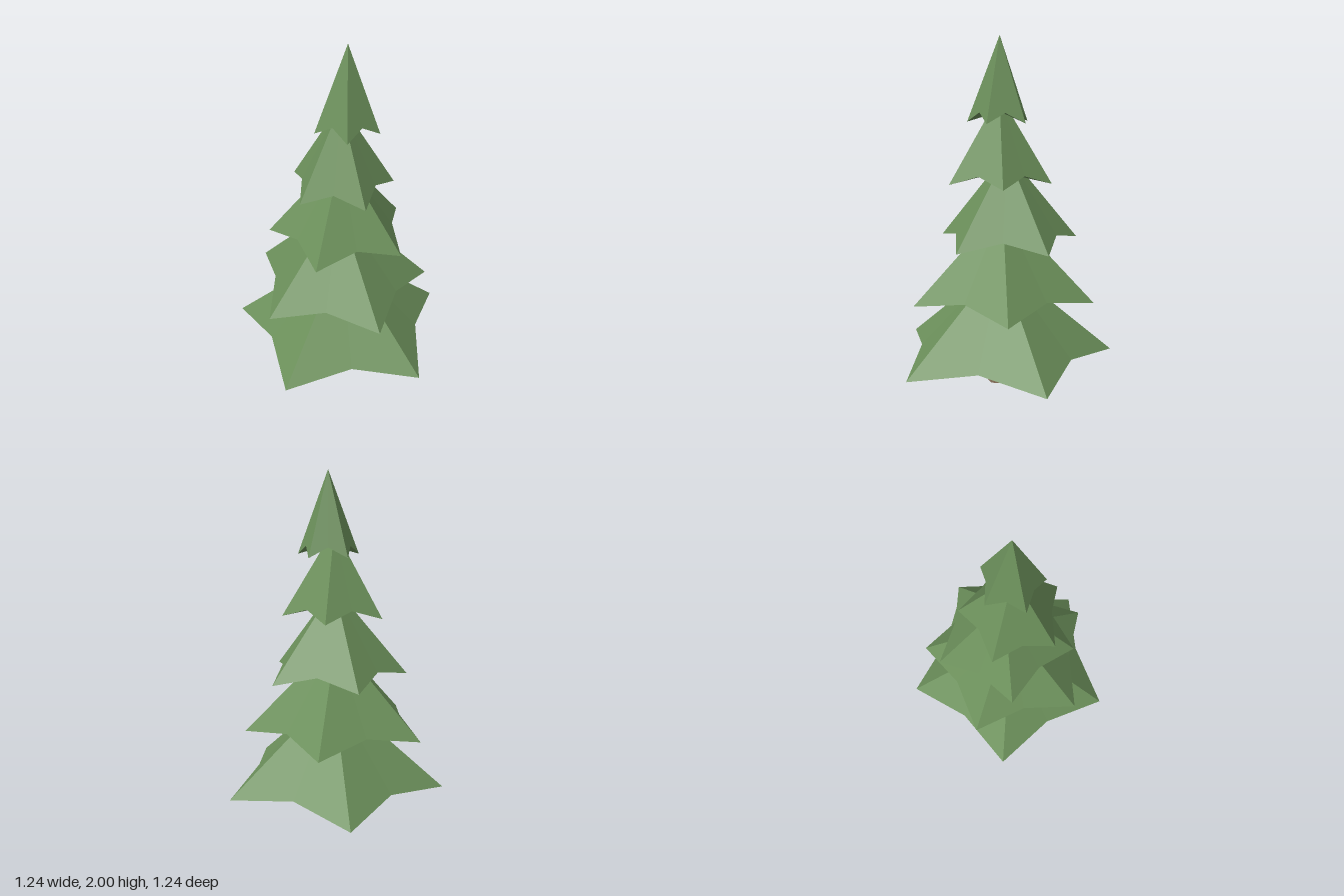
import * as THREE from 'three';

// One bough tier: a five-pointed star skirt rising to an apex, closed underneath.
function starTier(radius, height) {
  const points = 5, notch = 0.712, lift = 0.056;
  const rim = [];
  for (let i = 0; i < points * 2; i++) {
    const a = (i * Math.PI) / points;
    const valley = i % 2 === 1;
    const r = valley ? radius * notch : radius;
    rim.push([Math.cos(a) * r, valley ? lift : 0, Math.sin(a) * r]);
  }
  const apex = [0, height, 0], under = [0, lift, 0];
  const verts = [];
  rim.forEach((p, i) => {
    const next = rim[(i + 1) % rim.length];
    verts.push(...apex, ...next, ...p);   // upper slope
    verts.push(...under, ...p, ...next);  // underside
  });
  const geo = new THREE.BufferGeometry();
  geo.setAttribute('position', new THREE.Float32BufferAttribute(verts, 3));
  geo.computeVertexNormals();
  return geo;
}

export function createModel() {
  const tree = new THREE.Group();
  tree.name = 'pineTree';
  const green = new THREE.MeshStandardMaterial({ color: 0x6b8f5a, flatShading: true });
  const brown = new THREE.MeshStandardMaterial({ color: 0x8b735c, flatShading: true });

  // Tapered six-sided trunk
  const trunk = new THREE.Mesh(new THREE.CylinderGeometry(0.085, 0.108, 0.5, 6), brown);
  trunk.name = 'trunk';
  trunk.position.set(0.025, 0.25, 0.028);
  tree.add(trunk);

  // Tiers from bottom to top: centre x, base y, centre z, radius, height, turn in degrees
  const tiers = [
    [0.028, 0.163, 0.032, 0.66, 0.56, -26.1],
    [0.011, 0.507, 0.023, 0.54, 0.54, -8],
    [0.022, 0.848, -0.004, 0.421, 0.51, -36.2],
    [0.021, 1.19, 0.039, 0.302, 0.49, -8.8],
    [0.055, 1.532, 0.034, 0.183, 0.468, 17.5],
  ];
  tiers.forEach(([x, y, z, radius, height, turn], i) => {
    const tier = new THREE.Mesh(starTier(radius, height), green);
    tier.name = `boughTier${i + 1}`;
    tier.position.set(x, y, z);
    tier.rotation.y = -THREE.MathUtils.degToRad(turn);
    tree.add(tier);
  });
  return tree;
}
